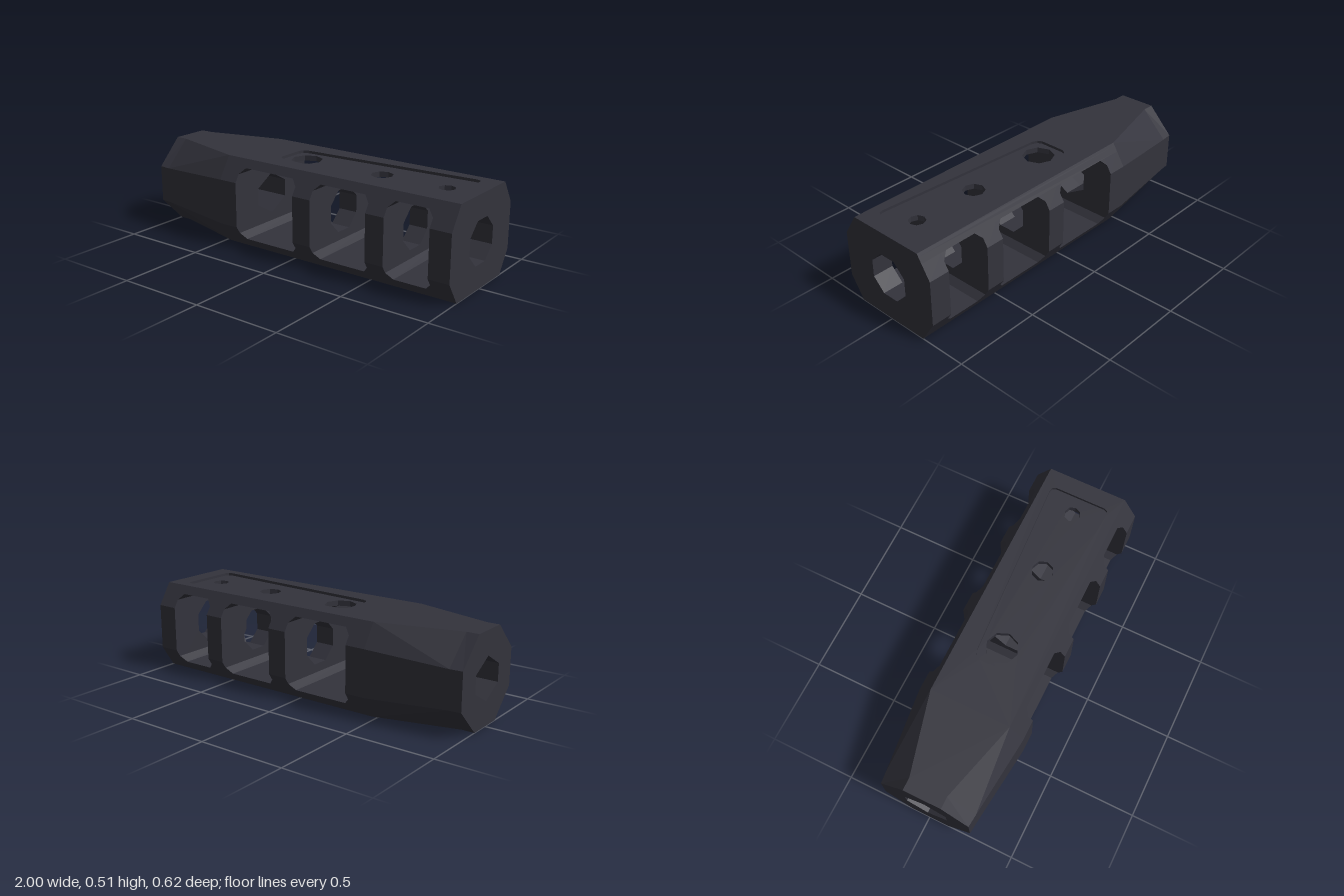
import * as THREE from 'three';

const HEIGHT = 0.51, CHAMFER = 0.125, REAR = -1, SHOULDER = -0.47, FRONT = 1;
const FLOOR = 0.05, CEILING = 0.465, RECESS = 0.495;
const PORTS = [[-0.355, 0.045], [0.16, 0.51], [0.62, 0.88]];

// bore outlines and body outlines as [z, y] points
const HEX = [[0.12, 0.205], [0.12, 0.305], [0, 0.375], [-0.12, 0.305], [-0.12, 0.205], [0, 0.135]];
const OCT = octagon(0.12, 0.05, 0.205, 0.305, 0.135, 0.375);

function octagon(side, flat, lo, hi, bottom, top) {
  return [[side, lo], [side, hi], [flat, top], [-flat, top],
    [-side, hi], [-side, lo], [-flat, bottom], [flat, bottom]];
}

// half depth of the chamfered body at height y
function halfDepth(y) {
  return 0.23 + 0.08 * Math.min(1, y / CHAMFER, (HEIGHT - y) / CHAMFER);
}

function makeShape(points, holes = []) {
  const toVec = (list) => list.map(([a, b]) => new THREE.Vector2(a, b));
  const shape = new THREE.Shape(toVec(points));
  holes.forEach((h) => shape.holes.push(new THREE.Path(toVec(h))));
  return shape;
}

const extrude = (shape, depth) => new THREE.ExtrudeGeometry(shape, { depth, bevelEnabled: false });

// pull the outer edges onto the sloping sides of the body
function fitToSides(geo) {
  const p = geo.attributes.position;
  for (let i = 0; i < p.count; i++) {
    if (Math.abs(p.getZ(i)) > 0.2) p.setZ(i, Math.sign(p.getZ(i)) * halfDepth(p.getY(i)));
  }
  geo.computeVertexNormals();
  return geo;
}

// horizontal layer of the body, holes given as [x, z]
function plate(y0, y1, holes) {
  const outline = [[SHOULDER, -0.23], [FRONT, -0.23], [FRONT, 0.23], [SHOULDER, 0.23]];
  const geo = extrude(makeShape(outline, holes), y1 - y0);
  geo.rotateX(-Math.PI / 2).translate(0, y0, 0);
  return fitToSides(geo);
}

// upright wall across the body with the bore through it
function baffle(x0, x1, bore) {
  const outline = octagon(0.31, halfDepth(FLOOR), CHAMFER, HEIGHT - CHAMFER, FLOOR, CEILING);
  // the top edge is a little narrower than the bottom edge
  outline[2][0] = halfDepth(CEILING);
  outline[3][0] = -halfDepth(CEILING);
  return extrude(makeShape(outline, [bore]), x1 - x0).rotateY(Math.PI / 2).translate(x0, 0, 0);
}

// skin between rings of [z, y] points placed along x
function loft(rings, inward = false) {
  const out = [];
  for (let r = 0; r + 1 < rings.length; r++) {
    const [a, b] = [rings[r], rings[r + 1]].map(({ x, pts }) => pts.map(([z, y]) => [x, y, z]));
    for (let i = 0; i < a.length; i++) {
      const j = (i + 1) % a.length;
      const tris = i % 4 === 1
        ? [[a[i], b[i], b[j]], [a[i], b[j], a[j]]]
        : [[a[i], b[i], a[j]], [a[j], b[i], b[j]]];
      tris.forEach((t) => (inward ? t.reverse() : t).forEach((v) => out.push(...v)));
    }
  }
  const geo = new THREE.BufferGeometry();
  geo.setAttribute('position', new THREE.Float32BufferAttribute(out, 3));
  geo.computeVertexNormals();
  return geo;
}

// eight-sided vent hole as [x, z] points
function vent(cx, r) {
  return Array.from({ length: 8 }, (_, i) => {
    const t = (i * Math.PI) / 4;
    return [cx + r * Math.cos(t), r * Math.sin(t)];
  });
}

export function createModel() {
  const group = new THREE.Group();
  const gunmetal = new THREE.MeshStandardMaterial({ color: 0x33333c });
  gunmetal.name = 'gunmetal';
  const add = (name, geo) => {
    const mesh = new THREE.Mesh(geo, gunmetal);
    mesh.name = name;
    group.add(mesh);
  };

  // floor, vented roof, and the thin cap that frames the recess
  add('floorPlate', plate(0, FLOOR, []));
  add('roofPlate', plate(CEILING, RECESS, [vent(-0.095, 0.09), vent(0.405, 0.062), vent(0.795, 0.046)]));
  const half = [[-0.21, 0.075], [-0.197, 0.1], [-0.165, 0.113], [0.865, 0.176], [0.89, 0.17], [0.9, 0.15]];
  const recess = [...half, ...half.map(([x, z]) => [x, -z]).reverse()];
  add('recessFrame', plate(RECESS, HEIGHT, [recess]));

  // walls between the side ports
  const ends = [SHOULDER, ...PORTS.flat(), FRONT];
  for (let i = 0; i < ends.length; i += 2) {
    add('baffle', baffle(ends[i], ends[i + 1], i === 0 ? HEX : OCT));
  }

  // small sloped fillets in the port corners
  const c = 0.035;
  for (const port of PORTS) {
    port.forEach((x, k) => {
      const dx = k ? -c : c;
      for (const [y, dy] of [[FLOOR, c], [CEILING, -c]]) {
        const corner = makeShape([[x, y], [x + dx, y], [x, y + dy]]);
        add('portFillet', fitToSides(extrude(corner, 0.6).translate(0, 0, -0.3)));
      }
    });
  }

  // tapered rear end with its bore and end face
  const rearRing = octagon(0.255, 0.108, 0.15, 0.36, 0, HEIGHT);
  add('rearTaper', loft([
    { x: REAR, pts: rearRing },
    { x: -0.93, pts: octagon(0.262, 0.108, 0.15, 0.36, 0, HEIGHT) },
    { x: SHOULDER, pts: octagon(0.31, 0.23, CHAMFER, HEIGHT - CHAMFER, 0, HEIGHT) },
  ]));
  add('rearBore', loft([{ x: REAR, pts: HEX }, { x: SHOULDER, pts: HEX }], true));
  add('rearFace', new THREE.ShapeGeometry(makeShape(rearRing, [HEX]))
    .rotateY(-Math.PI / 2).translate(REAR, 0, 0));

  return group;
}
